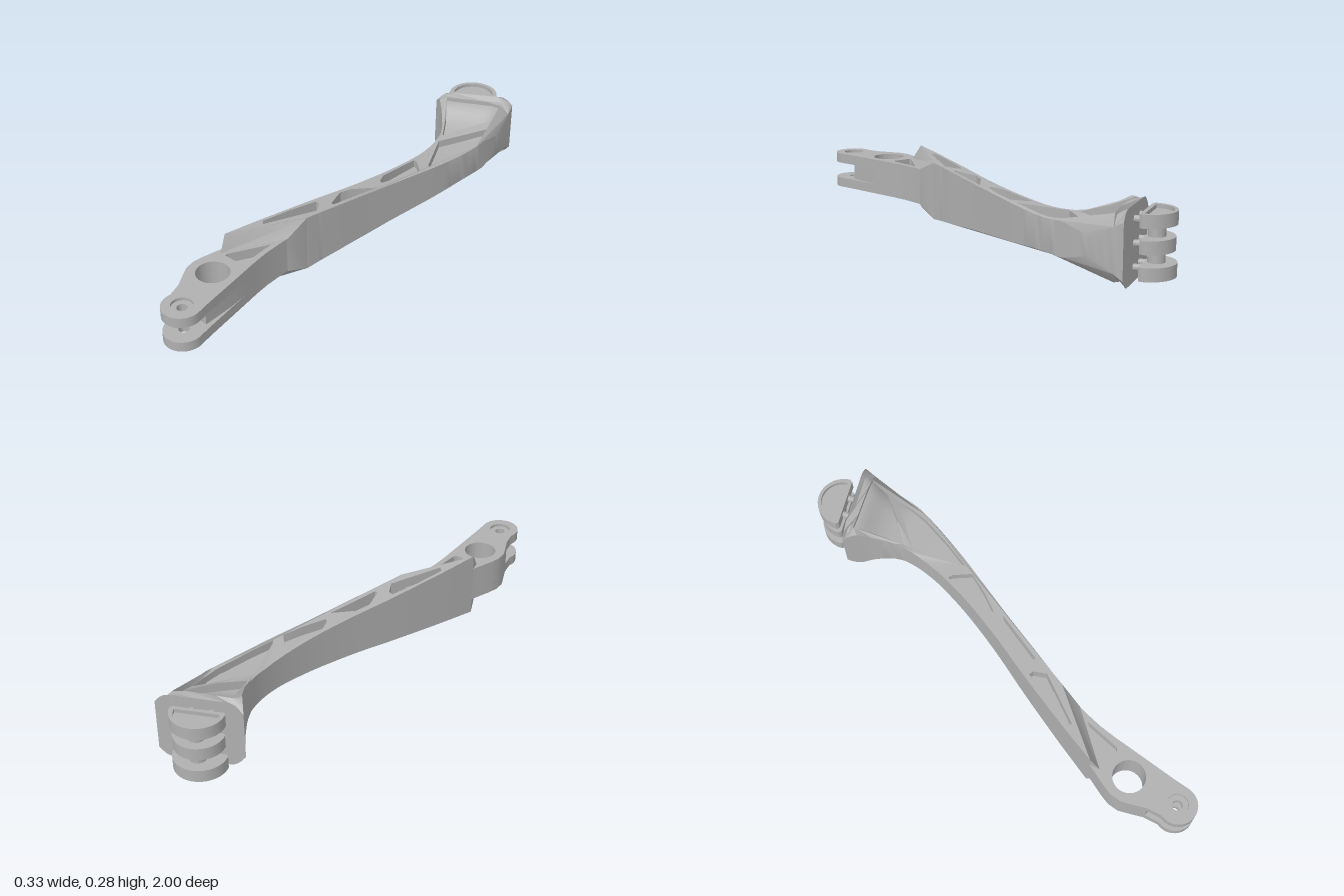
import * as THREE from 'three';
import { toCreasedNormals } from 'three/addons/utils/BufferGeometryUtils.js';

const MID = 0.144; // height of the symmetry plane
const { smoothstep, lerp } = THREE.MathUtils;

// Half height of the arm; s is measured square to the slanted head
const STATIONS = [[-0.88, 0.142], [-0.81, 0.134], [-0.745, 0.104], [-0.62, 0.069], [-0.5, 0.062],
  [-0.42, 0.064], [0, 0.094], [0.52, 0.139]];
function halfHeight(x, z) {
  const s = Math.min(Math.max(z + 0.6 * x, -0.88), 0.519);
  const i = STATIONS.findIndex((p) => p[0] > s);
  const [a, b] = [STATIONS[i - 1], STATIONS[i]];
  const h = lerp(a[1], b[1], (s - a[0]) / (b[0] - a[0]));
  const corner = Math.max(0, Math.abs(x + 0.02) - 0.093); // rounds the head corners
  return h - 17 * corner * corner * (1 - smoothstep(s, -0.85, -0.57));
}

function circle(x, z, r, from = 0, to = Math.PI * 2, n = 28) {
  const full = to - from > 6.28;
  return Array.from({ length: full ? n : n + 1 }, (_, i) => {
    const a = from + (to - from) * i / n;
    return [x + r * Math.cos(a), z + r * Math.sin(a)];
  });
}

export function createModel() {
  const model = new THREE.Group();
  const metal = new THREE.MeshStandardMaterial({ color: 0xb0b0b0 });
  metal.name = 'greyMetal';

  function add(name, geometry, parent = model) {
    geometry.deleteAttribute('normal');
    geometry.deleteAttribute('uv');
    const mesh = new THREE.Mesh(toCreasedNormals(geometry, 0.5), metal);
    mesh.name = name;
    parent.add(mesh);
    return mesh;
  }

  // Upright slab from an x/z outline; low and high are heights or rules of x and z
  function slab(name, outline, holes, low, high, parent) {
    // Outlines run anticlockwise and holes clockwise, so every wall faces outward
    const points = (list, clockwise) => {
      const v = list.map(([x, z]) => new THREE.Vector2(x, -z));
      return THREE.ShapeUtils.isClockWise(v) === clockwise ? v : v.reverse();
    };
    const shape = new THREE.Shape(points(outline, false));
    shape.holes = holes.map((h) => new THREE.Path(points(h, true)));
    const g = new THREE.ExtrudeGeometry(shape, { depth: 1, bevelEnabled: false });
    g.rotateX(-Math.PI / 2);
    const p = g.attributes.position;
    for (let i = 0; i < p.count; i++) {
      const rule = p.getY(i) > 0.5 ? high : low;
      p.setY(i, typeof rule === 'function' ? rule(p.getX(i), p.getZ(i)) : rule);
    }
    return add(name, g, parent);
  }

  // Plan curves of the two sides of the arm
  const curve = (list) => new THREE.CatmullRomCurve3(list.map(([x, z]) => new THREE.Vector3(x, 0, z)));
  const innerSide = curve([[-0.165, -0.78], [-0.075, -0.7], [-0.01, -0.61], [0.02, -0.47], [0.02, -0.29],
    [-0.005, -0.08], [-0.05, 0.16], [-0.09, 0.4], [-0.115, 0.575]]);
  const outerSide = curve([[0.12, -0.95], [0.155, -0.79], [0.165, -0.63], [0.145, -0.42], [0.115, -0.24],
    [0.085, -0.07], [0.053, 0.135], [0.04, 0.21], [0.03, 0.28]]);
  const flat = (c) => c.getPoints(64).map((v) => [v.x, v.z]);
  const left = flat(innerSide), right = flat(outerSide);
  const headEdge = Array.from({ length: 23 }, (_, i) =>
    [lerp(0.12, -0.165, (i + 1) / 24), lerp(-0.95, -0.78, (i + 1) / 24)]);

  // Arm rim and diagonal ribs
  const pockets = [
    [[-0.105, -0.775], [-0.05, -0.804], [0, -0.832], [0.05, -0.859], [0.1, -0.885], [0.115, -0.82],
      [0.06, -0.7], [0.005, -0.605], [-0.05, -0.7]],
    [[0.125, -0.77], [0.142, -0.7], [0.148, -0.62], [0.138, -0.48], [0.12, -0.36], [0.105, -0.38], [0.02, -0.56]],
    [[0.037, -0.37], [0.055, -0.365], [0.115, -0.31], [0.092, -0.22], [0.06, -0.13], [0.045, -0.14], [0.028, -0.18]],
    [[0.073, -0.09], [0.052, 0.03], [0.035, 0.13], [0.022, 0.13], [-0.01, 0.04], [0.005, -0.01]],
    [[-0.03, 0.16], [-0.01, 0.165], [0.02, 0.21], [-0.025, 0.33], [-0.06, 0.425], [-0.078, 0.41], [-0.058, 0.28]],
  ];
  const top = (x, z) => MID + halfHeight(x, z);
  const bottom = (x, z) => MID - halfHeight(x, z);
  slab('armFrame', [...left, ...right.slice().reverse(), ...headEdge], pockets, bottom, top);

  // Recessed web between the ribs, scooping up to the head plate
  const web = new THREE.BoxGeometry(1, 1, 1, 8, 1, 60);
  const p = web.attributes.position;
  for (let i = 0; i < p.count; i++) {
    const t = lerp(0.012, 0.99, p.getZ(i) + 0.5), u = lerp(0.04, 0.96, p.getX(i) + 0.5);
    const v = innerSide.getPoint(t).lerp(outerSide.getPoint(t), u);
    const scoop = 1 - smoothstep(v.z + 0.6 * v.x, -0.85, -0.66);
    const h = halfHeight(v.x, v.z) * lerp(0.52, 0.88, scoop);
    p.setXYZ(i, v.x, MID + Math.sign(p.getY(i)) * h, v.z);
  }
  add('armWeb', web);

  // Sloping shoulder from the arm down to the fork
  const fall = (x, z) => {
    const d = ((x + 0.115) * 0.3 + (z - 0.575) * 0.145) / 0.333;
    return lerp(halfHeight(x, z), 0.0765, smoothstep(d, 0, 0.025));
  };
  slab('shoulder', [[-0.115, 0.575], [0.03, 0.28], [0.026, 0.385], [-0.1, 0.615]], [],
    (x, z) => MID - fall(x, z), (x, z) => MID + fall(x, z));

  // Fork: two tines joined by a filler that stops at the slot
  const forkRoot = [[0.027, 0.26], [0.024, 0.42], [0.026, 0.5], [0.034, 0.57], [0.045, 0.64]];
  const forkLeft = [[-0.08, 0.85], [-0.11, 0.8], [-0.133, 0.76], [-0.141, 0.715], [-0.135, 0.67],
    [-0.122, 0.61], [-0.11, 0.55], [-0.07, 0.3]];
  const tip = circle(0.013, 0.922, 0.076, -0.2, Math.PI + 0.2, 24);
  const tine = [...forkRoot, [0.077, 0.85], ...tip, ...forkLeft];
  const pivot = circle(-0.04, 0.715, 0.065, 0, Math.PI * 2, 40);
  const forkPocket = [[0.003, 0.45], [0.01, 0.6], [0, 0.612], [-0.078, 0.612], [-0.08, 0.6]];
  const pin = circle(0.013, 0.92, 0.02), sink = circle(0.013, 0.92, 0.042);
  slab('forkFiller', [...forkRoot, [0.053, 0.72], [0.056, 0.85], ...forkLeft], [pivot], 0.11, 0.178);
  slab('upperTine', tine, [pivot, forkPocket, pin], 0.178, 0.208);
  slab('upperTineRim', tine, [pivot, forkPocket, sink], 0.208, 0.22);
  slab('lowerTine', tine, [pivot, forkPocket, pin], 0.081, 0.11);
  slab('lowerTineRim', tine, [pivot, forkPocket, sink], 0.069, 0.081);

  // Adjuster knob of three half discs behind the head
  const knob = new THREE.Group();
  knob.name = 'knob';
  knob.position.set(-0.053, 0, -0.897);
  knob.rotation.y = 0.541;
  model.add(knob);
  const half = (r) => [...circle(0, 0, r, Math.PI, Math.PI * 2, 24), [r * 0.93, 0.01], [-r * 0.93, 0.01]];
  const dish = circle(0, -0.005, 0.085, Math.PI, Math.PI * 2, 24);
  slab('upperDisc', half(0.103), [], 0.215, 0.25, knob);
  slab('upperDiscRim', half(0.103), [dish], 0.25, 0.265, knob);
  slab('middleDisc', half(0.097), [], 0.12, 0.17, knob);
  slab('lowerDisc', half(0.103), [], 0.04, 0.075, knob);
  slab('lowerDiscRim', half(0.103), [dish], 0.025, 0.04, knob);
  slab('knobCore', circle(0, -0.03, 0.032), [], 0.06, 0.23, knob);
  for (const y of [0.0575, 0.145, 0.2325]) {
    for (const x of [-0.04, 0.035]) {
      const peg = new THREE.CylinderGeometry(0.013, 0.013, 0.08, 14);
      peg.rotateX(Math.PI / 2);
      add('knobPeg', peg, knob).position.set(x, y, 0.02);
    }
  }
  return model;
}
